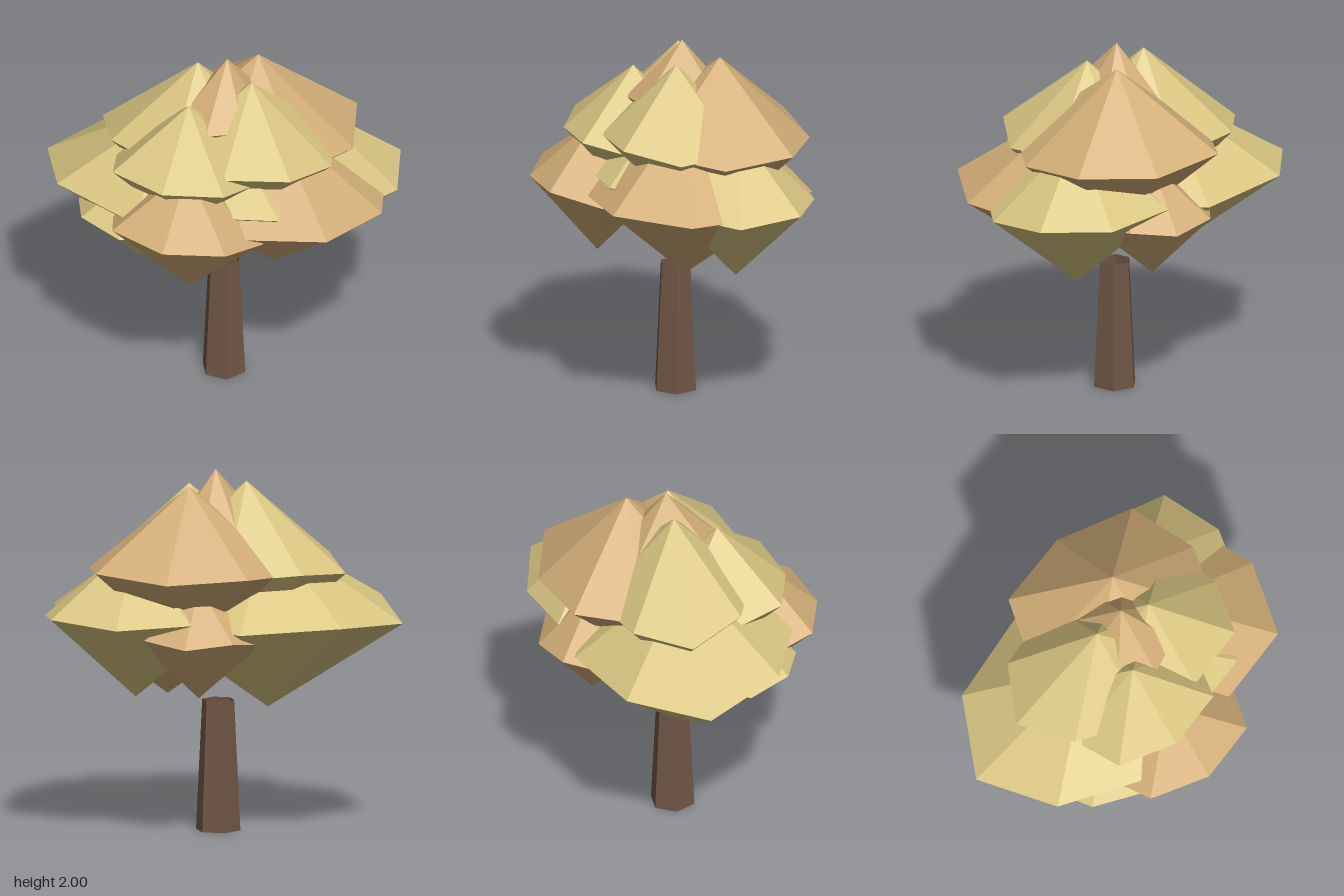
import * as THREE from 'three';

const YELLOW = 0xdac682, ORANGE = 0xd3ae78, BROWN = 0x705646;

const material = (color, side = THREE.FrontSide) =>
  new THREE.MeshStandardMaterial({ color, flatShading: true, side });

// Eight-sided double cone with a slightly wavy rim: centre, half sizes,
// widening of the diagonal corners, and rise of the rim towards the front
function clump(name, [x, y, z], [rx, ry, rz], mat, diagonal, tilt) {
  const geo = new THREE.SphereGeometry(1, 8, 2);
  const p = geo.attributes.position;
  for (let i = 0; i < p.count; i++) {
    const px = p.getX(i), pz = p.getZ(i);
    const corner = 2 * Math.abs(px * pz);
    const widen = 1 + (diagonal - 1) * corner;
    const lift = 0.03 * corner + tilt * Math.max(0, pz * Math.sign(tilt));
    p.setXYZ(i, px * rx * widen, p.getY(i) * ry + Math.abs(lift), pz * rz * widen);
  }
  const mesh = new THREE.Mesh(geo, mat);
  mesh.position.set(x, y, z);
  mesh.name = name + 'Foliage';
  return mesh;
}

export function createModel() {
  const model = new THREE.Group();
  model.name = 'tree';
  const yellow = material(YELLOW), orange = material(ORANGE);

  // Tapered six-sided trunk, open at both ends
  const trunk = new THREE.Mesh(
    new THREE.CylinderGeometry(0.09, 0.125, 0.72, 6, 1, true),
    material(BROWN, THREE.DoubleSide));
  trunk.rotation.y = Math.PI / 6;
  trunk.position.set(0.055, 0.36, -0.025);
  trunk.name = 'trunk';
  model.add(trunk);

  // Foliage clumps: name, centre, half sizes, material, diagonal, tilt
  const foliage = new THREE.Group();
  foliage.name = 'foliage';
  const clumps = [
    ['crownTop', [0.06, 1.63, -0.06], [0.27, 0.37, 0.31], orange, 1, 0.05],
    ['upperBack', [0.16, 1.46, -0.26], [0.56, 0.47, 0.49], orange, 1.08, 0.03],
    ['upperRightSide', [-0.11, 1.45, -0.05], [0.56, 0.49, 0.43], yellow, 0.98, 0.05],
    ['upperFront', [-0.06, 1.42, 0.2], [0.42, 0.4, 0.38], yellow, 1.1, 0.05],
    ['upperLeftSide', [0.22, 1.48, -0.02], [0.47, 0.43, 0.41], yellow, 1.07, 0.04],
    ['middle', [0.1, 1.26, 0.05], [0.6, 0.37, 0.43], yellow, 1.03, 0.04],
    ['lowerFront', [0.02, 1.17, 0.4], [0.44, 0.38, 0.37], orange, 1.07, 0.05],
    ['lowerRightSide', [-0.22, 1.18, -0.01], [0.76, 0.49, 0.61], yellow, 0.98, 0.08],
    ['lowerLeftSide', [0.33, 1.22, -0.06], [0.64, 0.47, 0.55], orange, 1.08, -0.04],
    ['lowerBackLeft', [0.44, 1.2, -0.33], [0.51, 0.43, 0.43], yellow, 1.09, 0.02],
    ['smallBack', [0.05, 1.11, -0.47], [0.35, 0.31, 0.3], orange, 1, 0.03],
    ['smallFrontRight', [-0.31, 1.1, 0.27], [0.37, 0.28, 0.32], yellow, 1, 0.02],
  ];
  for (const args of clumps) foliage.add(clump(...args));
  model.add(foliage);
  return model;
}
